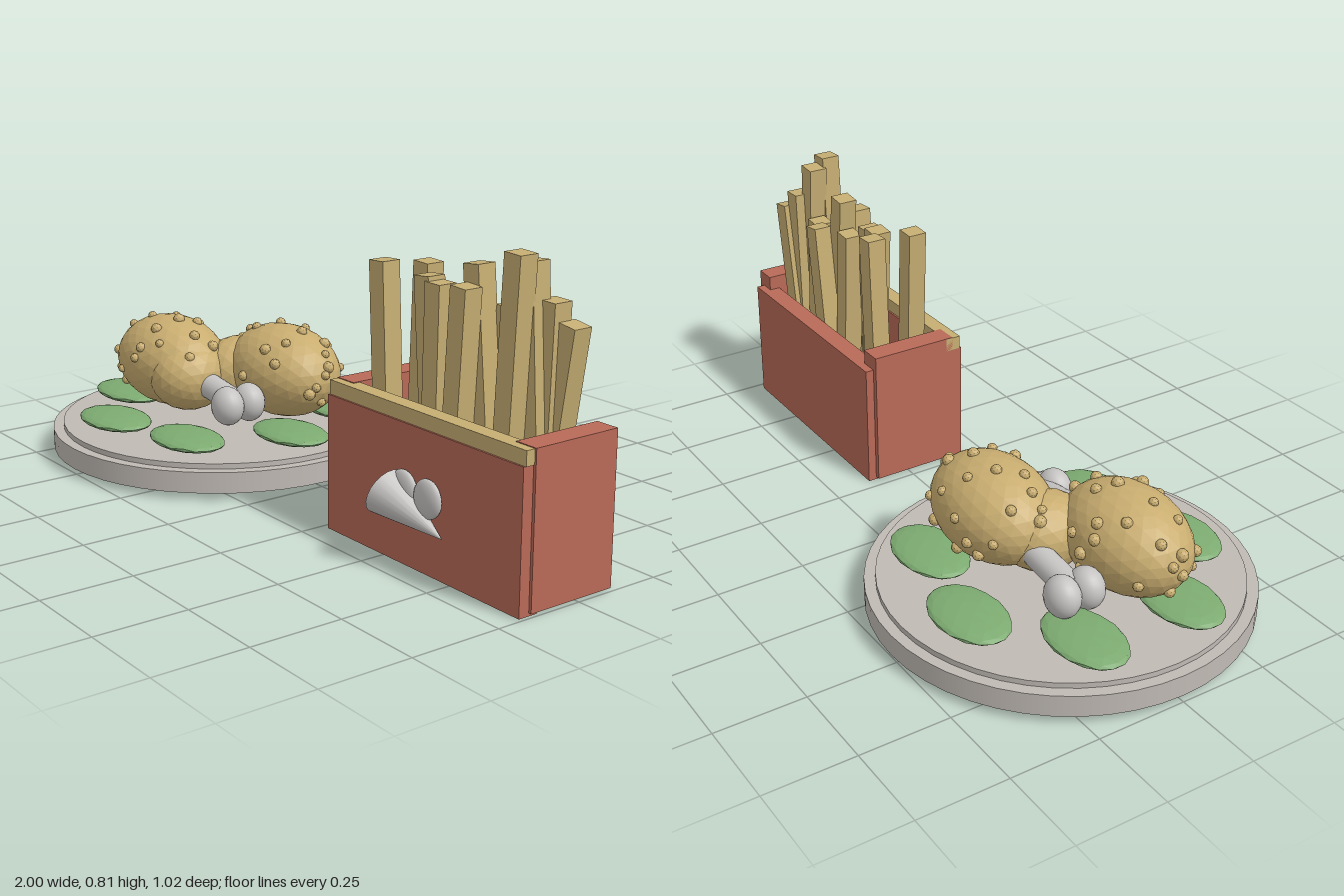
import * as THREE from 'three';

const mat = (name, color, flatShading = false) => {
  const m = new THREE.MeshStandardMaterial({ color, flatShading });
  m.name = name;
  return m;
};

export function createModel() {
  const root = new THREE.Group();
  root.name = 'friedChickenMeal';
  const plateGrey = mat('plate grey', 0xc0bab4);
  const leafGreen = mat('leaf green', 0x7dab71, true);
  const crust = mat('crust gold', 0xc9ad70, true);
  const fryGold = mat('fry gold', 0xc6ae73);
  const boxRed = mat('box red', 0xb96a58);
  const boneGrey = mat('bone white', 0xc6c4c2);

  const add = (parent, name, geo, material, x, y, z) => {
    const m = new THREE.Mesh(geo, material);
    m.name = name;
    m.position.set(x, y, z);
    parent.add(m);
    return m;
  };
  const box = (parent, name, material, x0, x1, y0, y1, z0, z1) =>
    add(parent, name, new THREE.BoxGeometry(x1 - x0, y1 - y0, z1 - z0), material,
      (x0 + x1) / 2, (y0 + y1) / 2, (z0 + z1) / 2);
  // Tapered round bar between two points
  const bar = (parent, name, material, a, b, ra, rb) => {
    const d = new THREE.Vector3().subVectors(b, a);
    const m = add(parent, name, new THREE.CylinderGeometry(rb, ra, d.length(), 20), material, 0, 0, 0);
    m.position.copy(a).addScaledVector(d, 0.5);
    m.quaternion.setFromUnitVectors(new THREE.Vector3(0, 1, 0), d.normalize());
    return m;
  };
  let seed = 7;
  const rand = () => (seed = (seed * 16807) % 2147483647) / 2147483647;

  // Plate with a raised upper disc
  const plate = new THREE.Group();
  plate.name = 'plate';
  plate.position.x = -0.49;
  root.add(plate);
  add(plate, 'plateBase', new THREE.CylinderGeometry(0.51, 0.51, 0.06, 48), plateGrey, 0, 0.05, 0);
  add(plate, 'plateTop', new THREE.CylinderGeometry(0.48, 0.48, 0.02, 48), plateGrey, 0, 0.085, 0);

  // Ring of salad leaves
  for (let i = 0; i < 7; i++) {
    const a = (i / 7) * Math.PI * 2;
    const leaf = add(plate, 'leaf', new THREE.IcosahedronGeometry(1, 2), leafGreen,
      Math.cos(a) * 0.34, 0.12, Math.sin(a) * 0.34);
    leaf.scale.set(0.137, 0.021, 0.092);
  }

  // Drumstick: the bone points along local +x
  const drumstick = (name, x, z, turn, neckX, neckZ) => {
    const g = new THREE.Group();
    g.name = name;
    g.position.set(x, 0.245, z);
    g.rotation.y = turn;
    root.add(g);
    const r = new THREE.Vector3(0.205, 0.135, 0.147);
    add(g, 'meat', new THREE.IcosahedronGeometry(1, 4), crust, 0, 0, 0).scale.copy(r);
    add(g, 'meatNeck', new THREE.IcosahedronGeometry(1, 3), crust, neckX, -0.022, neckZ)
      .scale.set(0.11, 0.105, 0.122);
    // Crumbs scattered over the crust
    for (let i = 0; i < 34; i++) {
      const y = 1 - (i + 0.5) / 34 * 1.6;
      const a = i * 2.4 + rand() * 0.9;
      const s = Math.sqrt(1 - y * y);
      add(g, 'crumb', new THREE.IcosahedronGeometry(0.012 + rand() * 0.006, 1), crust,
        Math.cos(a) * s * r.x, y * r.y, Math.sin(a) * s * r.z);
    }
    bar(g, 'bone', boneGrey, new THREE.Vector3(0.15, -0.03, 0), new THREE.Vector3(0.35, -0.055, 0), 0.038, 0.036);
    for (const s of [-1, 1])
      add(g, 'boneKnob', new THREE.SphereGeometry(1, 20, 14), boneGrey, 0.358, -0.057, s * 0.036)
        .scale.set(0.054, 0.056, 0.045);
  };
  drumstick('frontDrumstick', -0.643, 0.088, 0, 0.115, 0.01);
  drumstick('backDrumstick', -0.347, -0.115, Math.PI, 0.135, -0.065);

  // Open fries box
  const carton = new THREE.Group();
  carton.name = 'friesBox';
  root.add(carton);
  box(carton, 'frontPanel', boxRed, 0.27, 0.99, 0, 0.362, 0.125, 0.18);
  box(carton, 'frontTrim', fryGold, 0.27, 0.993, 0.362, 0.4, 0.13, 0.175);
  box(carton, 'backPanel', boxRed, 0.285, 0.975, 0, 0.36, -0.13, -0.075);
  box(carton, 'leftPanel', boxRed, 0.932, 0.998, 0.008, 0.402, -0.106, 0.15);
  box(carton, 'rightPanel', boxRed, 0.27, 0.336, 0.008, 0.402, -0.106, 0.15);
  box(carton, 'floor', boxRed, 0.33, 0.935, 0.04, 0.07, -0.08, 0.13);

  // Raised heart badge: two flat lobes and a tilted cone
  for (const x of [0.585, 0.675])
    add(carton, 'badgeLobe', new THREE.SphereGeometry(1, 20, 14), boneGrey, x, 0.198, 0.188)
      .scale.set(0.048, 0.05, 0.018);
  bar(carton, 'badgeCone', boneGrey, new THREE.Vector3(0.537, 0.183, 0.205),
    new THREE.Vector3(0.728, 0.113, 0.188), 0.063, 0.001);

  // Fries: x at the bottom, x at the top, z, top height
  const fries = [
    [0.40, 0.368, 0.08, 0.715], [0.385, 0.408, -0.03, 0.705], [0.53, 0.482, 0.03, 0.69],
    [0.52, 0.53, 0.035, 0.68], [0.62, 0.577, -0.01, 0.655], [0.70, 0.634, 0.005, 0.742],
    [0.615, 0.652, 0.06, 0.695], [0.63, 0.702, -0.045, 0.642], [0.80, 0.768, -0.005, 0.628],
    [0.795, 0.832, 0.057, 0.804], [0.87, 0.82, 0.008, 0.78], [0.85, 0.868, -0.02, 0.69],
    [0.83, 0.918, -0.035, 0.64],
  ];
  for (const [x0, x1, z, top] of fries) {
    const h = Math.hypot(x1 - x0, top - 0.07);
    const fry = add(carton, 'fry', new THREE.BoxGeometry(0.055, h, 0.054), fryGold,
      (x0 + x1) / 2, (top + 0.07) / 2, z);
    fry.rotation.z = -Math.atan2(x1 - x0, top - 0.07);
  }
  return root;
}
